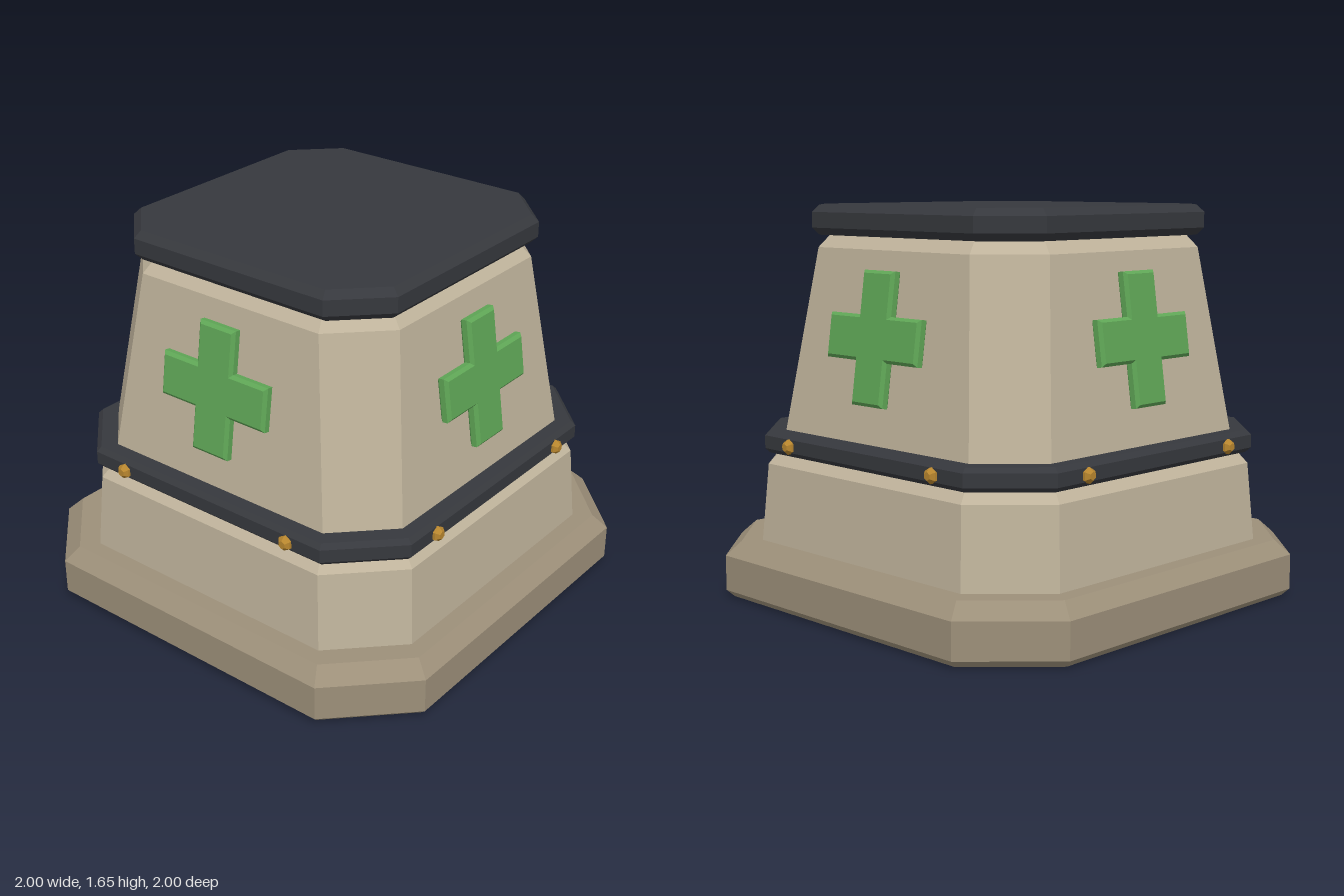
import * as THREE from 'three';

const material = (color) => new THREE.MeshStandardMaterial({ color, flatShading: true });

// Solid from stacked chamfered squares; each ring is [y, half width, half length of the flat side]
function chamferedStack(rings) {
  const loops = rings.map(([y, h, f]) =>
    [[h, -f], [h, f], [f, h], [-f, h], [-h, f], [-h, -f], [-f, -h], [f, -h]]
      .map(([x, z]) => [x, y, z]));
  const pos = [];
  const tri = (a, b, c) => pos.push(...a, ...b, ...c);
  for (let r = 0; r < loops.length - 1; r++) {
    for (let i = 0; i < 8; i++) {
      const j = (i + 1) % 8;
      const lo = loops[r], hi = loops[r + 1];
      tri(lo[i], hi[i], hi[j]);
      tri(lo[i], hi[j], lo[j]);
    }
  }
  const bottom = loops[0], top = loops[loops.length - 1];
  for (let i = 1; i < 7; i++) {
    tri(bottom[0], bottom[i], bottom[i + 1]);
    tri(top[0], top[i + 1], top[i]);
  }
  const geo = new THREE.BufferGeometry();
  geo.setAttribute('position', new THREE.Float32BufferAttribute(pos, 3));
  geo.computeVertexNormals();
  return geo;
}

// Bevelled plus shape, centred on its own origin and facing +z
function crossGeometry(reach, arm, depth, bevel) {
  const r = reach - bevel, a = arm - bevel;
  const shape = new THREE.Shape([
    [a, -r], [a, -a], [r, -a], [r, a], [a, a], [a, r],
    [-a, r], [-a, a], [-r, a], [-r, -a], [-a, -a], [-a, -r],
  ].map(([x, y]) => new THREE.Vector2(x, y)));
  const geo = new THREE.ExtrudeGeometry(shape, {
    depth: depth - 2 * bevel, bevelEnabled: true,
    bevelThickness: bevel, bevelSize: bevel, bevelSegments: 1,
  });
  return geo.translate(0, 0, -(depth - 2 * bevel) / 2);
}

export function createModel() {
  const model = new THREE.Group();
  model.name = 'pedestal';
  const stone = material(0xbfb39b);
  const baseStone = material(0x9c8f79);
  const dark = material(0x36383d);
  const green = material(0x5fa656);
  const brass = material(0xb8862e);

  const add = (parent, name, geo, mat) => {
    const mesh = new THREE.Mesh(geo, mat);
    mesh.name = name;
    parent.add(mesh);
    return mesh;
  };

  // Stacked body
  add(model, 'base', chamferedStack([
    [0, 0.97, 0.68], [0.03, 1, 0.695], [0.18, 1, 0.695], [0.24, 0.94, 0.66],
  ]), baseStone);
  add(model, 'lowerBody', chamferedStack([
    [0.22, 0.87, 0.61], [0.57, 0.845, 0.587], [0.62, 0.8, 0.565],
  ]), stone);
  add(model, 'band', chamferedStack([
    [0.615, 0.83, 0.594], [0.635, 0.85, 0.602], [0.69, 0.85, 0.602], [0.71, 0.83, 0.594],
  ]), dark);
  add(model, 'upperBody', chamferedStack([
    [0.61, 0.787, 0.568], [1.48, 0.665, 0.452], [1.535, 0.615, 0.43],
  ]), stone);
  add(model, 'cap', chamferedStack([
    [1.53, 0.645, 0.468], [1.56, 0.675, 0.48], [1.625, 0.675, 0.48], [1.655, 0.645, 0.468],
  ]), dark);

  // Cross and pair of bolts on each of the four sides
  const cross = crossGeometry(0.27, 0.092, 0.05, 0.013);
  const bolt = new THREE.LatheGeometry([
    [0.032, -0.01], [0.032, 0.01], [0.017, 0.026], [0, 0.026],
  ].map(([x, y]) => new THREE.Vector2(x, y)), 6);
  bolt.rotateZ(Math.PI / 2).rotateY(Math.PI / 2).rotateZ(Math.PI / 2);
  // Make sure the bolt head points along +z
  bolt.computeBoundingBox();
  if (bolt.boundingBox.max.z < 0.02) bolt.rotateY(Math.PI);

  ['front', 'left', 'back', 'right'].forEach((name, i) => {
    const side = new THREE.Group();
    side.name = name + 'Side';
    side.rotation.y = i * Math.PI / 2;
    const plus = add(side, name + 'Cross', cross, green);
    plus.position.set(0, 1.135, 0.745);
    plus.rotation.x = -0.14;
    for (const s of [-1, 1]) {
      add(side, name + 'Bolt', bolt, brass).position.set(s * 0.435, 0.66, 0.85);
    }
    model.add(side);
  });

  return model;
}
